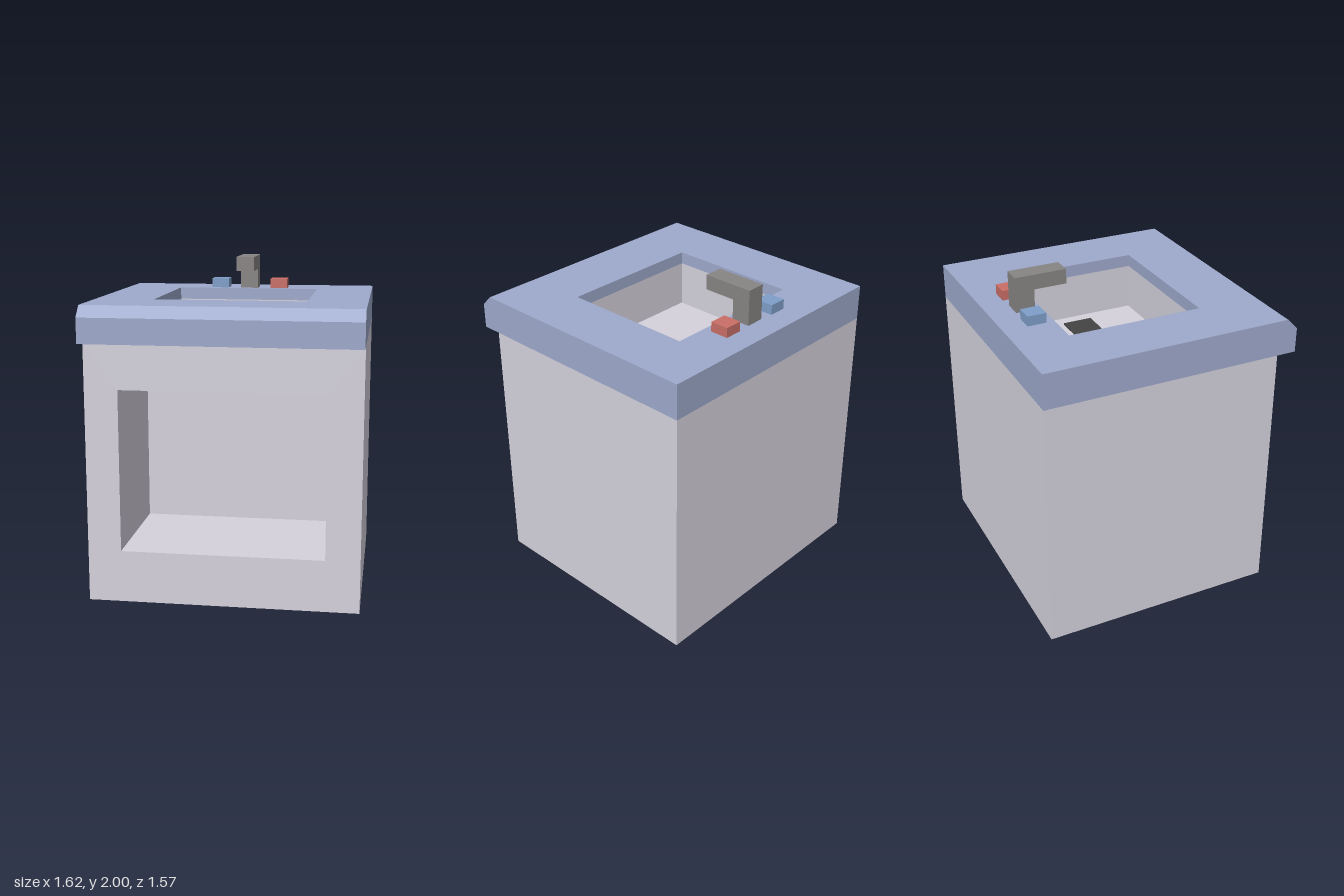
import * as THREE from 'three';

const paint = (color) => new THREE.MeshStandardMaterial({ color });
const FACES = ['+x', '-x', '+y', '-y', '+z', '-z'];

// Box from its limits; faces in `open` are left out, `inward` turns it inside out
function box([x0, x1], [y0, y1], [z0, z1], open = [], inward = false) {
  const g = new THREE.BoxGeometry(x1 - x0, y1 - y0, z1 - z0);
  const index = [];
  FACES.forEach((face, f) => {
    if (open.includes(face)) return;
    for (let i = f * 6; i < f * 6 + 6; i += 3) {
      const [a, b, c] = [0, 1, 2].map((k) => g.index.getX(i + k));
      index.push(...(inward ? [a, c, b] : [a, b, c]));
    }
  });
  g.setIndex(index);
  g.clearGroups();
  if (inward) g.computeVertexNormals();
  return g.translate((x0 + x1) / 2, (y0 + y1) / 2, (z0 + z1) / 2);
}

// Rectangle with a rectangular hole
function frame([x0, x1], [y0, y1], [hx0, hx1], [hy0, hy1]) {
  const loop = (a, b, c, d) => [[a, c], [b, c], [b, d], [a, d]].map((p) => new THREE.Vector2(...p));
  const shape = new THREE.Shape(loop(x0, x1, y0, y1));
  shape.holes.push(new THREE.Path(loop(hx0, hx1, hy0, hy1)));
  return shape;
}

// Side profile of [z, y] points, swept across x and centred
function sweep(points, width) {
  const shape = new THREE.Shape(points.map((p) => new THREE.Vector2(...p)));
  return new THREE.ExtrudeGeometry(shape, { depth: width, bevelEnabled: false })
    .rotateY(-Math.PI / 2).translate(width / 2, 0, 0);
}

export function createModel() {
  const model = new THREE.Group();
  const body = paint(0xd5d2dd), blue = paint(0x9ea9cb), metal = paint(0x888484);
  const add = (name, geometry, material) => {
    const mesh = new THREE.Mesh(geometry, material);
    mesh.name = name;
    model.add(mesh);
  };

  const W = [-0.81, 0.81], back = -0.785, front = 0.665;
  const under = 1.57, lip = 1.71, top = 1.785;
  const nicheX = [-0.61, 0.605], nicheY = [0.315, 1.29];
  const basinX = [-0.455, 0.455], basinZ = [-0.475, 0.345], floor = 1.43;

  // Cabinet with a deep niche in the front
  add('cabinet', box(W, [0, under], [back, front], ['+y', '+z']), body);
  add('cabinetFront', new THREE.ShapeGeometry(frame(W, [0, under], nicheX, nicheY)).translate(0, 0, front), body);
  add('niche', box(nicheX, nicheY, [-0.105, front], ['+z'], true), body);

  // Countertop: skirt, slab with the basin opening, chamfered front nosing
  add('countertopSkirt', box(W, [under, lip], [back, front], ['+y', '-y', '+z']), blue);
  const slab = frame(W, [-front, -back], basinX, [-basinZ[1], -basinZ[0]]);
  add('countertop', new THREE.ExtrudeGeometry(slab, { depth: top - lip, bevelEnabled: false })
    .rotateX(-Math.PI / 2).translate(0, lip, 0), blue);
  add('countertopNosing', sweep([[front, under], [0.785, under], [0.785, 1.72], [0.72, top], [front, top]], 1.62), blue);

  // Basin and drain
  add('basin', box(basinX, [floor, lip], basinZ, ['+y'], true), body);
  add('drain', box([0.165, 0.37], [floor, floor + 0.01], [-0.155, 0.03]), paint(0x444444));

  // Faucet and the two tap knobs
  add('faucet', sweep([[-0.63, top], [-0.515, top], [-0.515, 1.91], [-0.315, 1.91], [-0.315, 2], [-0.63, 2]], 0.115), metal);
  add('coldTap', box([-0.25, -0.14], [top, 1.845], [-0.638, -0.523]), paint(0x7f9fc9));
  add('hotTap', box([0.14, 0.25], [top, 1.845], [-0.638, -0.523]), paint(0xc96f66));

  return model;
}
